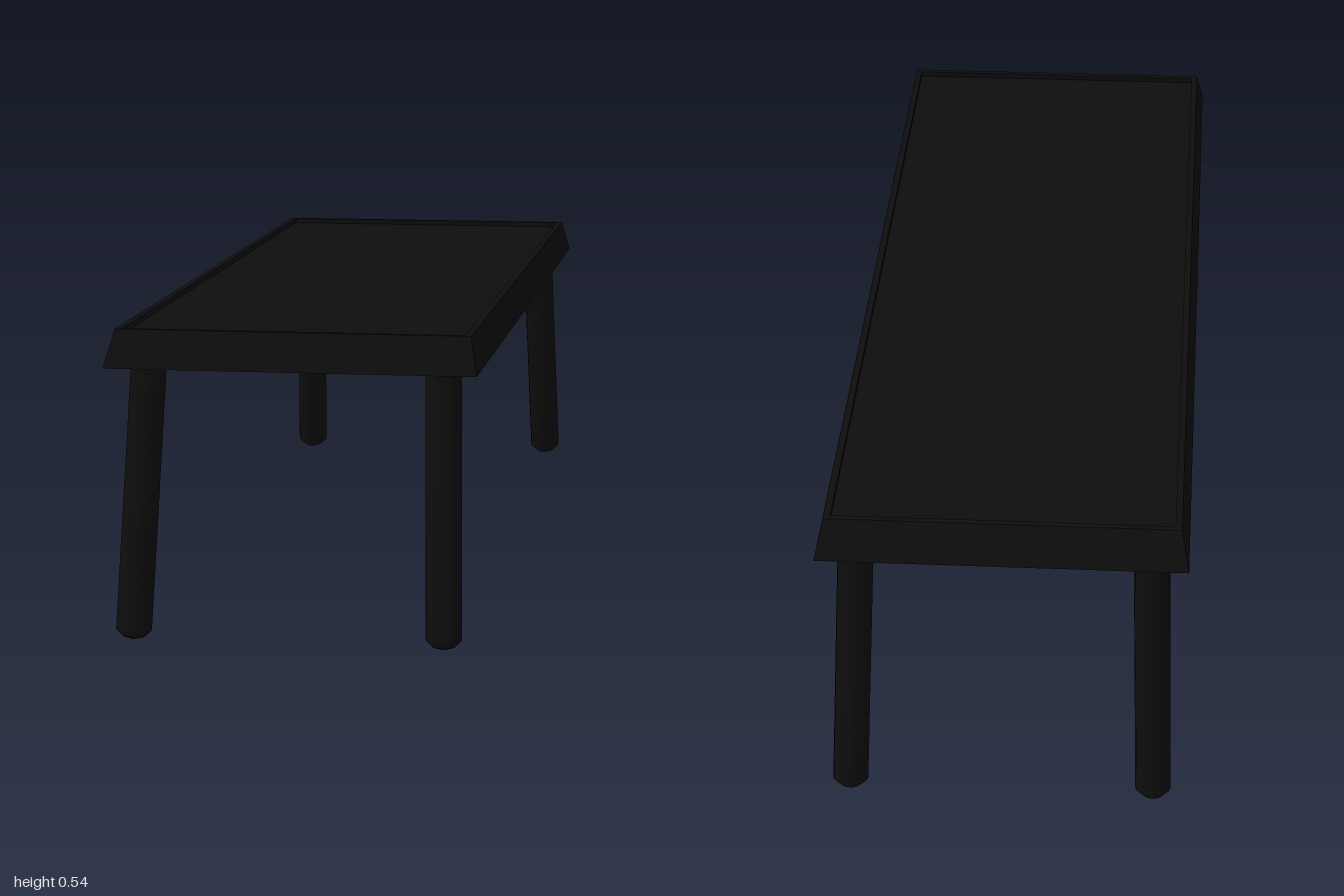
import * as THREE from 'three';

const black = new THREE.MeshStandardMaterial({ color: 0x0d0d0d });
black.name = 'black';

// Flat-faced loft through rectangular rings [halfX, y, halfZ], from bottom to top.
function rectLoft(rings) {
  const signs = [[1, 1], [1, -1], [-1, -1], [-1, 1]];
  const positions = [];
  const corner = ([hx, y, hz], k) => [signs[k % 4][0] * hx, y, signs[k % 4][1] * hz];
  for (let i = 0; i < rings.length - 1; i++) {
    for (let k = 0; k < 4; k++) {
      const a = corner(rings[i], k), b = corner(rings[i], k + 1);
      const c = corner(rings[i + 1], k + 1), d = corner(rings[i + 1], k);
      if (rings[i][0] > 0) positions.push(...a, ...b, ...c);
      if (rings[i + 1][0] > 0) positions.push(...a, ...c, ...d);
    }
  }
  const geometry = new THREE.BufferGeometry();
  geometry.setAttribute('position', new THREE.Float32BufferAttribute(positions, 3));
  geometry.computeVertexNormals();
  return geometry;
}

export function createModel() {
  const group = new THREE.Group();
  group.name = 'table';

  // Tapered top with a narrow rim around a shallow recess
  const top = new THREE.Mesh(rectLoft([
    [0, 0.48, 0],
    [0.328, 0.48, 0.95],
    [0.314, 0.545, 0.914],
    [0.302, 0.545, 0.902],
    [0.302, 0.535, 0.902],
    [0, 0.535, 0],
  ]), black);
  top.name = 'tableTop';
  group.add(top);

  // Round splayed legs with softly domed feet
  const head = new THREE.Vector3(0.261, 0.5, 0.873);
  const foot = new THREE.Vector3(0.275, 0.002, 0.968);
  const length = head.distanceTo(foot);
  const legGeometry = new THREE.LatheGeometry([
    new THREE.Vector2(0, 0),
    new THREE.Vector2(0.018, 0.004),
    new THREE.Vector2(0.032, 0.017),
    new THREE.Vector2(0.032, length),
  ], 16);
  const up = new THREE.Vector3(0, 1, 0);
  for (const sx of [1, -1]) {
    for (const sz of [1, -1]) {
      const mirror = new THREE.Vector3(sx, 1, sz);
      const base = foot.clone().multiply(mirror);
      const axis = head.clone().multiply(mirror).sub(base).normalize();
      const leg = new THREE.Mesh(legGeometry, black);
      leg.name = (sz > 0 ? 'front' : 'back') + (sx > 0 ? 'Left' : 'Right') + 'Leg';
      leg.position.copy(base);
      leg.quaternion.setFromUnitVectors(up, axis);
      group.add(leg);
    }
  }
  return group;
}
